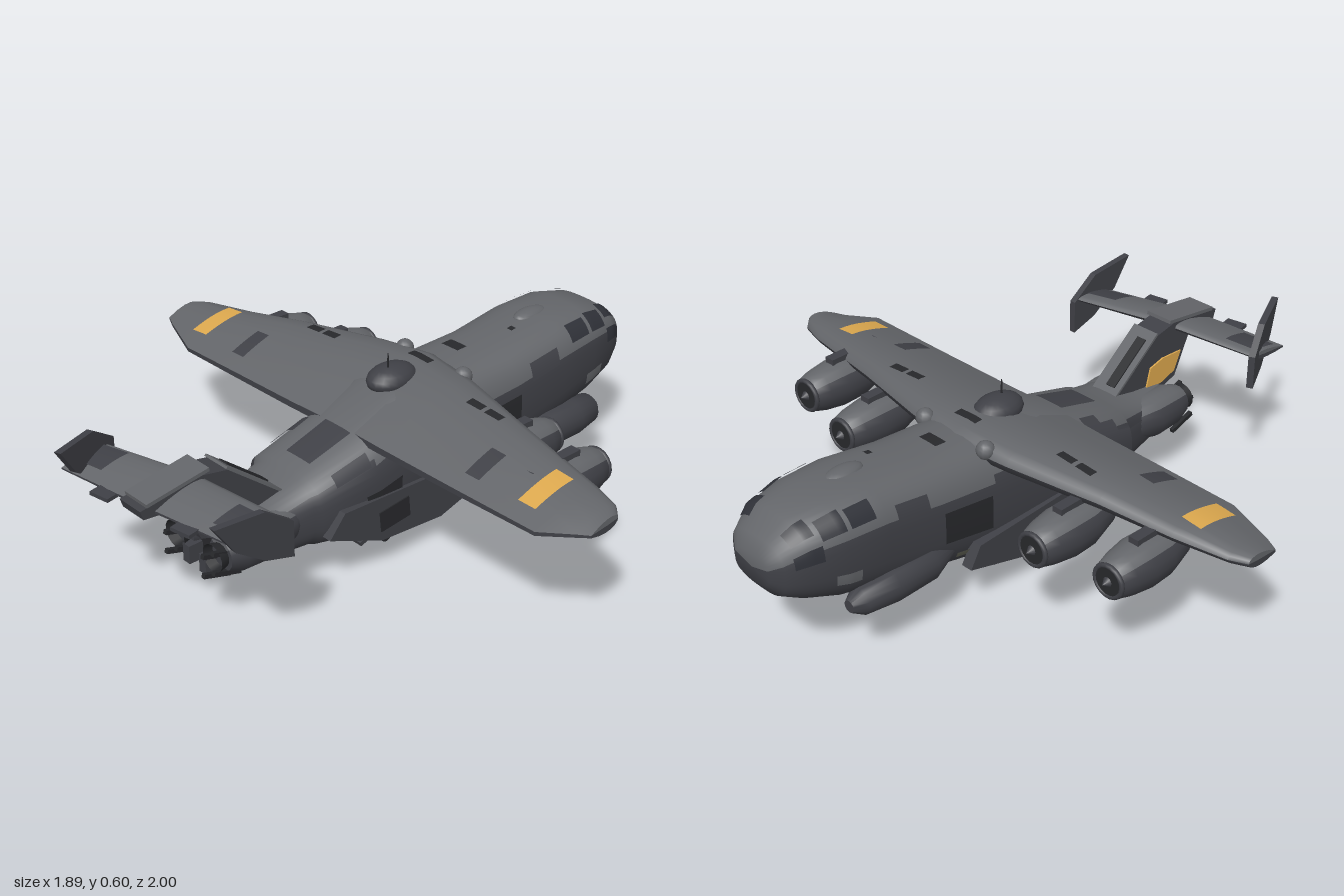
import * as THREE from 'three';
import { toCreasedNormals } from 'three/addons/utils/BufferGeometryUtils.js';

const mat = (name, color) => Object.assign(new THREE.MeshStandardMaterial({ color }), { name });
const V = (x, y, z) => new THREE.Vector3(x, y, z);

// linear interpolation in a table of sections, keyed by the first column
function section(table, k) {
  let i = 0;
  while (i < table.length - 2 && k > table[i + 1][0]) i++;
  const a = table[i], b = table[i + 1];
  const t = (k - a[0]) / (b[0] - a[0]);
  return a.map((v, n) => v + (b[n] - v) * t);
}

// closed skin over rings; pick(i, j) gives the material slot of each quad
function loft(rings, pick = () => 0, crease = 0.7) {
  const n = rings[0].length, pts = rings.flat(), slots = [[], []];
  for (let i = 0; i < rings.length - 1; i++) for (let j = 0; j < n; j++) {
    const a = i * n + j, b = i * n + (j + 1) % n;
    slots[pick(i, j)].push(a, b, b + n, a, b + n, a + n);
  }
  [0, rings.length - 1].forEach((r, e) => {
    const c = pts.length;
    pts.push(rings[r].reduce((s, p) => s.add(p), V(0, 0, 0)).divideScalar(n));
    for (let j = 0; j < n; j++) {
      const a = r * n + j, b = r * n + (j + 1) % n;
      slots[pick(Math.min(r, rings.length - 2), j)].push(...(e ? [c, a, b] : [c, b, a]));
    }
  });
  const g = new THREE.BufferGeometry().setFromPoints(pts);
  g.setIndex([...slots[0], ...slots[1]]);
  g.addGroup(0, slots[0].length, 0);
  g.addGroup(slots[0].length, slots[1].length, 1);
  return toCreasedNormals(g, crease);
}

// thin painted patch lying on a surface fn(u, v)
function patchGeo(fn, u0, u1, v0, v1, n = 6) {
  const pts = [], idx = [];
  for (let i = 0; i <= n; i++) for (let j = 0; j <= n; j++) {
    pts.push(fn(u0 + (u1 - u0) * j / n, v0 + (v1 - v0) * i / n));
    const a = i * (n + 1) + j;
    if (i < n && j < n) idx.push(a, a + 1, a + n + 2, a, a + n + 2, a + n + 1);
  }
  const g = new THREE.BufferGeometry().setFromPoints(pts);
  g.setIndex(idx);
  g.computeVertexNormals();
  return g;
}

// side-on outline (z, y) extruded across x, centred on x = 0
function slab(points, width) {
  const s = new THREE.Shape(points.map(p => new THREE.Vector2(...p)));
  return new THREE.ExtrudeGeometry(s, { depth: width, bevelEnabled: false })
    .translate(0, 0, -width / 2).rotateY(-Math.PI / 2);
}

// hull sections: z, centre x, half width, bottom, top
const HULL = [
  [-1, .04, .075, .35, .44], [-.975, .04, .115, .31, .485], [-.91, .04, .15, .275, .53],
  [-.8, .035, .175, .235, .555], [-.65, .035, .183, .2, .555], [-.45, .03, .18, .15, .528],
  [-.25, .02, .183, .11, .52], [0, .015, .185, .065, .505], [.15, .015, .185, .085, .435],
  [.36, .015, .17, .135, .375], [.38, .02, .15, .14, .365], [.52, .03, .135, .16, .335], [.64, .035, .1, .18, .32]];
function hull(th, z, grow = 0) {
  const [, cx, hw, yb, yt] = section(HULL, z), p = 2 / 2.9;
  const c = Math.cos(th), s = Math.sin(th);
  return V(cx + Math.sign(c) * Math.abs(c) ** p * (hw + grow),
    (yb + yt) / 2 + Math.sign(s) * Math.abs(s) ** p * ((yt - yb) / 2 + grow), z);
}

// flying surfaces: x, leading z, trailing z, leading y, trailing y, half thickness
const WING = [
  [-.95, -.06, .06, .425, .41, .02], [-.9, -.09, .085, .43, .41, .024], [-.73, -.13, .15, .44, .405, .034],
  [-.5, -.18, .15, .465, .408, .045], [-.2, -.25, .15, .485, .412, .055], [0, -.28, .15, .495, .42, .06],
  [.2, -.25, .15, .49, .418, .055], [.5, -.18, .15, .475, .42, .045], [.82, -.115, .15, .455, .425, .032],
  [.91, -.085, .08, .45, .43, .026], [.945, -.05, .06, .45, .435, .02]];
const TAIL = [[-.3, .775, .93, .475, .455, .013], [.04, .71, .89, .495, .465, .02], [.37, .655, .82, .48, .455, .013]];
function foil(table, x, t, side, grow = 0) {
  const [, zl, zt, yl, yt, h] = section(table, x);
  const thick = h * (2.6 * Math.sqrt(t) * (1 - t) + .2 * t);
  return V(x, yl + (yt - yl) * t + side * thick + grow, zl + (zt - zl) * t);
}
function foilGeo(table) {
  const ts = [0, .03, .1, .25, .45, .7, 1];
  const rings = table.map(([x]) => [...ts.map(t => foil(table, x, t, 1)),
    ...ts.slice(1).reverse().map(t => foil(table, x, t, -1))]);
  return loft(rings, (i, j) => (j < 6 ? 0 : 1), .8);
}

// round pod along z; profile rows are [z, radius, y shift]
function podGeo(profile, n = 18) {
  const rings = profile.map(([z, r, dy = 0]) => Array.from({ length: n }, (_, j) => {
    const a = j / n * Math.PI * 2;
    return V(Math.cos(a) * r, Math.sin(a) * r + dy, z);
  }));
  return loft(rings, (i, j) => (j > 1 && j < n / 2 - 2 ? 0 : 1));
}

export function createModel() {
  const grey = mat('hull grey', 0x636569), dark = mat('charcoal', 0x3f4046), black = mat('near black', 0x27282b);
  const amber = mat('amber marking', 0xdca84e), olive = mat('olive patch', 0x5d5e52), glass = mat('dark glass', 0x2f3138);
  const model = new THREE.Group();
  const add = (name, geo, m, x = 0, y = 0, z = 0) => {
    const mesh = new THREE.Mesh(geo, m);
    mesh.name = name;
    mesh.position.set(x, y, z);
    model.add(mesh);
    return mesh;
  };
  const box = (name, m, w, h, d, x, y, z) => add(name, new THREE.BoxGeometry(w, h, d), m, x, y, z);

  // fuselage, grey roof over charcoal sides
  const N = 40;
  const rings = HULL.map(([z]) => Array.from({ length: N }, (_, j) => hull(j / N * Math.PI * 2, z)));
  add('fuselage', loft(rings, (i, j) => {
    const a = (j + .5) / N * Math.PI * 2, edge = i < 6 ? .3 : i < 8 ? .5 : .65;
    return a > edge && a < Math.PI - edge ? 0 : 1;
  }), [grey, dark]);

  // hull paint and panels: both sides mirrored by angle
  const onHull = (name, m, a0, a1, z0, z1, grow = .005) =>
    add(name, patchGeo((a, z) => hull(a, z, grow), a0, a1, z0, z1), m);
  const both = (name, m, a0, a1, z0, z1, grow) => {
    onHull(name, m, a0, a1, z0, z1, grow);
    onHull(name, m, Math.PI - a1, Math.PI - a0, z0, z1, grow);
  };
  both('windscreenPane', glass, .72, 1.2, -.945, -.88);
  both('cockpitPane', glass, .5, 1.02, -.865, -.79);
  both('cockpitPane', glass, .5, .95, -.775, -.69);
  both('noseSidePane', glass, .1, .42, -.95, -.87);
  both('camouflagePatch', dark, .25, .6, -.62, -.5);
  both('camouflagePatch', dark, .5, .85, .17, .3);
  both('sideDoor', black, -.15, .16, -.45, -.27);
  both('rearSideDoor', black, -.3, .05, .06, .2);
  both('olivePatch', olive, -.55, -.42, -.4, -.33);
  both('greySidePatch', grey, -.3, -.1, -.84, -.76);
  onHull('roofHatch', black, 1.53, 1.72, -.365, -.325, .006);
  onHull('roofDot', black, 1.42, 1.5, -.55, -.53, .006);
  onHull('rearDeckPatch', dark, 1.35, 1.7, .16, .32);
  onHull('rearDeckPatch', dark, 2.05, 2.3, .17, .24);
  add('roofBlister', new THREE.SphereGeometry(1, 16, 10).scale(.035, .02, .07), grey, .04, .545, -.66);

  // main wing with painted panels
  add('wing', foilGeo(WING), [grey, dark]);
  const onWing = (name, m, x0, x1, z0, z1) => add(name, patchGeo((z, x) => {
    const [, zl, zt] = section(WING, x);
    return foil(WING, x, (z - zl) / (zt - zl), 1, .006);
  }, z0, z1, x0, x1), m);
  onWing('amberBand', amber, -.785, -.715, -.07, .085);
  onWing('amberBand', amber, .705, .77, -.06, .095);
  for (const s of [-1, 1]) {
    for (const x of [.325, .4]) onWing('wingVent', black, s * x - .03, s * x + .03, -.14, -.11);
    onWing('flapPanel', dark, s * .53 - .028, s * .53 + .028, -.01, .1);
    add('wingRootBump', new THREE.SphereGeometry(.03, 12, 8), grey, .015 + s * .13, .505, -.25);
  }
  onWing('centreHatch', black, -.03, .06, -.21, -.18);
  add('wingDome', new THREE.SphereGeometry(1, 20, 10).scale(.065, .045, .09), dark, .015, .515, -.07);
  add('antenna', new THREE.CylinderGeometry(.002, .004, .06, 6), black, .02, .575, -.05);

  // four wing engines: open intake, fan, tapering tail and pylon
  const nacelle = podGeo([[0, .05], [.015, .06], [.05, .07], [.12, .08], [.2, .077], [.28, .06, .012], [.37, .022, .03]]);
  [[-.665, .352, -.315], [-.425, .365, -.37], [.415, .37, -.36], [.65, .39, -.305]].forEach(([x, y, z]) => {
    add('engineNacelle', nacelle, [grey, dark], x, y, z);
    add('intakeLip', new THREE.TorusGeometry(.05, .008, 8, 18), dark, x, y, z + .002);
    add('engineFan', new THREE.CircleGeometry(.046, 18).rotateY(Math.PI), black, x, y, z - .003);
    add('fanHub', new THREE.ConeGeometry(.018, .025, 12).rotateX(-Math.PI / 2), dark, x, y, z - .012);
    box('enginePylon', dark, .035, .06, .2, x, y + .065, z + .2);
  });

  // forward sponsons, larger on the left, and the long side fairings
  add('leftSponson', podGeo([[-.82, .02], [-.79, .05], [-.7, .065], [-.56, .065], [-.47, .045], [-.43, .015]]), [dark, dark], .2, .215, 0);
  add('rightSponson', podGeo([[-.8, .02], [-.76, .045], [-.65, .058], [-.5, .055], [-.4, .015]]), [dark, dark], -.125, .235, 0);
  for (const s of [-1, 1]) {
    add('sideFairing', slab([[-.38, .17], [-.34, .24], [.3, .27], [.36, .2], [.15, .11], [-.1, .09]], .04), dark, .015 + s * .178, 0, 0);
    box('fairingPanel', black, .006, .07, .12, .015 + s * .199, .185, .1).rotation.x = .1;
  }

  // belly skids and landing gear
  box('bellyKeel', dark, .22, .05, .3, .015, .075, -.05);
  for (const x of [-.06, .08]) {
    box('gearStrut', black, .03, .07, .05, x, .06, .04).rotation.x = .4;
    add('gearWheel', new THREE.CylinderGeometry(.022, .022, .045, 14).rotateZ(Math.PI / 2), black, x, .022, .03);
    box('gearDoor', dark, .04, .015, .11, x, .052, .085).rotation.x = .35;
  }

  // twin tail engines and the machinery between them
  const tailPod = podGeo([[.4, .03, .02], [.45, .06, .01], [.54, .074], [.64, .07], [.69, .052]]);
  for (const s of [-1, 1]) {
    const x = .028 + s * .088;
    add('tailEngine', tailPod, [grey, dark], x, .255, 0);
    add('tailNozzle', new THREE.CylinderGeometry(.045, .036, .04, 14, 1, true).rotateX(Math.PI / 2),
      Object.assign(black, { side: THREE.DoubleSide }), x, .255, .7);
    for (let k = 0; k < 4; k++) box('tailProng', black, .014, .014, .1, x + (k % 2 - .5) * .05, .175 + k * .033, .69).rotation.x = -.3;
    box('tailBracket', dark, .03, .06, .1, x - s * .05, .21, .67);
  }
  box('tailMachinery', black, .16, .1, .06, .028, .24, .64);

  // fin, carrying the tailplane on top
  add('fin', slab([[.42, .335], [.62, .495], [.72, .515], [.93, .485], [.92, .455], [.79, .44], [.73, .31], [.6, .27], [.45, .28]], .095), dark, .035);
  const slope = box('finLeadingPanel', grey, .1, .008, .27, .035, .421, .525);
  slope.rotation.x = -.675;
  const slot = box('finSlot', black, .035, .008, .19, .025, .427, .525);
  slot.rotation.x = -.675;
  for (const s of [-1, 1])
    add('finAmberMark', slab([[.58, .31], [.6, .39], [.66, .405], [.75, .4], [.72, .335], [.66, .315]], .008), amber, .035 + s * .049);
  box('finCap', grey, .1, .012, .22, .035, .51, .8).rotation.x = .14;
  add('tailplane', foilGeo(TAIL), [grey, dark]);
  const onTail = (x0, x1, t0, t1) =>
    add('tailplanePatch', patchGeo((t, x) => foil(TAIL, x, t, 1, .005), t0, t1, x0, x1), dark);
  onTail(-.29, -.18, .15, .75);
  onTail(.25, .36, .25, .8);
  for (const [x, z] of [[-.1, .92], [.2, .865]]) box('elevatorTab', dark, .07, .012, .05, x, .458, z).rotation.y = .17;

  // swept end plates
  const plate = slab([[0, .36], [0, .475], [.1, .545], [.27, .56], [.2, .46], [.1, .39]], .022);
  add('leftEndPlate', plate, dark, .375, 0, .64);
  add('rightEndPlate', plate, dark, -.31, .015, .75).rotation.y = .41;
  return model;
}
